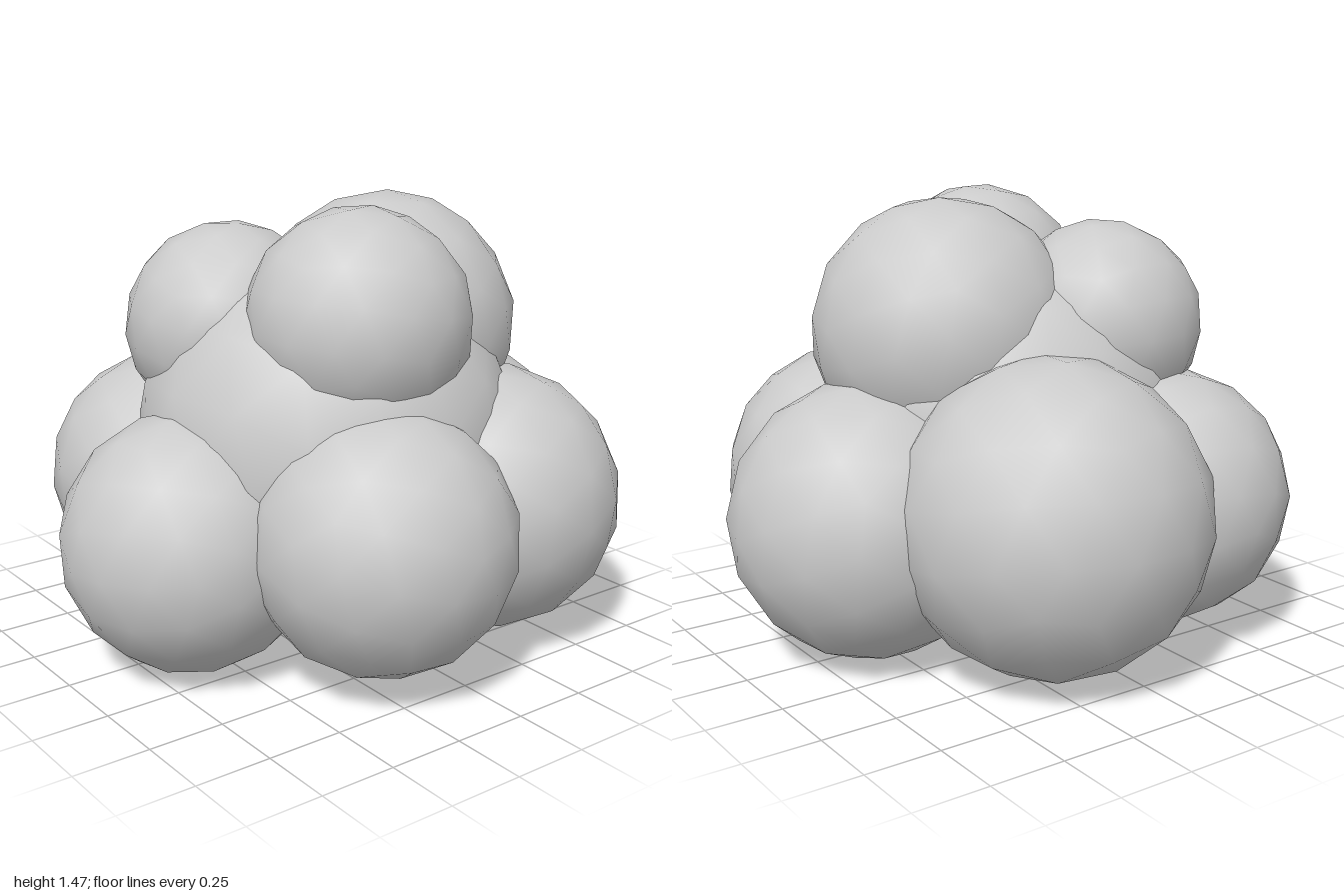
import * as THREE from 'three';

// Rounded bush made of overlapping leafy clumps: [name, x, y, z, radius]
const clumps = [
  ['core', -0.035, 0.675, 0.07, 0.64],
  ['lowerFrontRight', -0.19, 0.475, 0.56, 0.43],
  ['lowerFrontLeft', 0.35, 0.48, 0.45, 0.445],
  ['lowerLeft', 0.545, 0.45, 0, 0.46],
  ['lowerBackLeft', 0.16, 0.51, -0.48, 0.515],
  ['lowerBackRight', -0.35, 0.485, -0.41, 0.425],
  ['lowerRight', -0.58, 0.415, 0.075, 0.425],
  ['upperLeft', 0.205, 1.025, 0.07, 0.445],
  ['upperFront', -0.1, 1.11, 0.32, 0.365],
  ['upperBackRight', -0.27, 1.04, -0.16, 0.345],
];

export function createModel() {
  const bush = new THREE.Group();
  bush.name = 'bush';
  const material = new THREE.MeshStandardMaterial({ color: 0xcccccc });
  // Coarse ball with smooth normals, turned differently for each clump
  const ball = new THREE.IcosahedronGeometry(1, 2);
  clumps.forEach(([name, x, y, z, r], i) => {
    const clump = new THREE.Mesh(ball, material);
    clump.name = name;
    clump.position.set(x, y, z);
    clump.scale.setScalar(r);
    clump.rotation.set(i * 1.3, i * 2.1, i * 0.7);
    bush.add(clump);
  });
  return bush;
}
